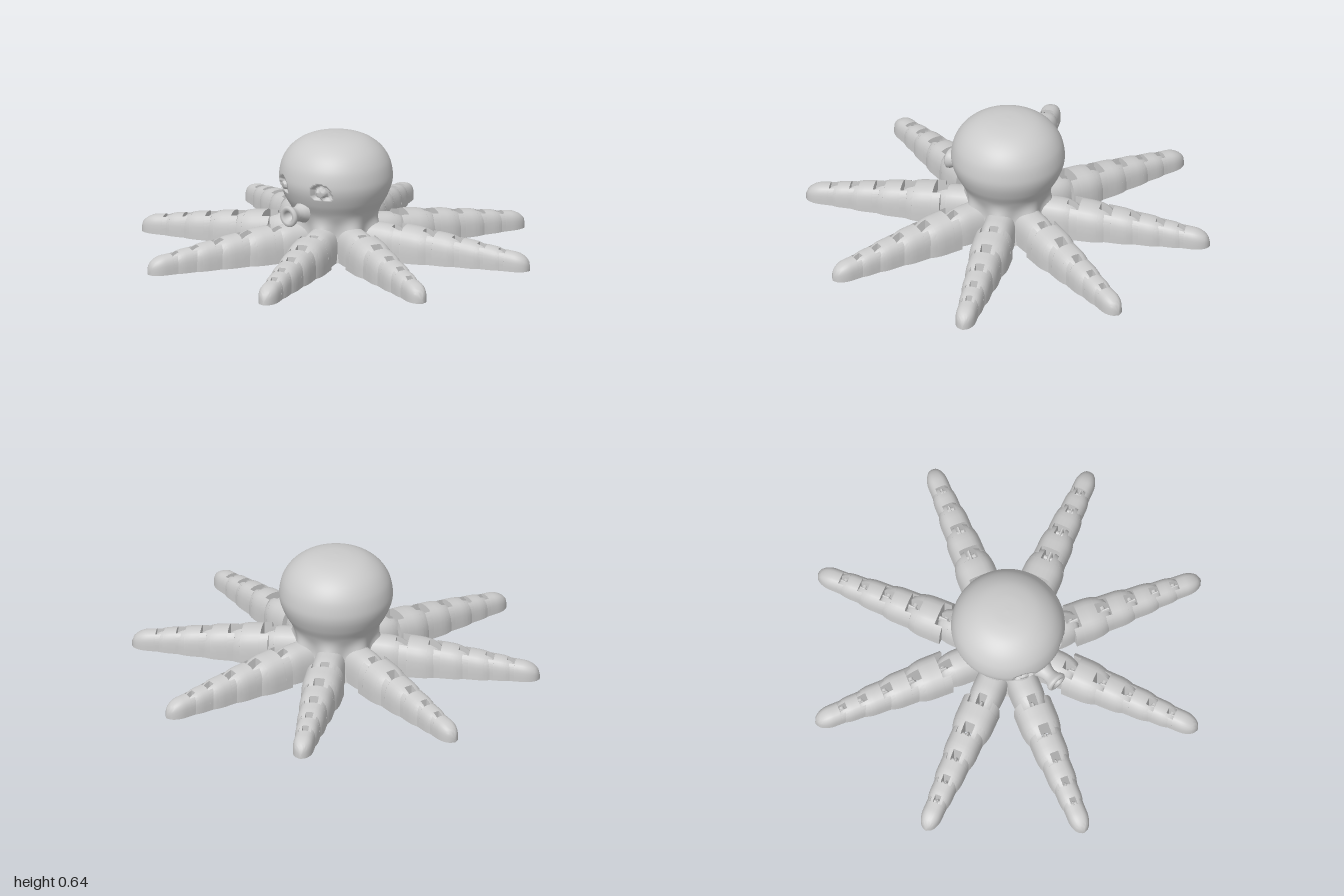
import * as THREE from 'three';
import { mergeVertices, toCreasedNormals } from 'three/addons/utils/BufferGeometryUtils.js';

const material = new THREE.MeshStandardMaterial({ color: 0xcccccc });
const openMaterial = new THREE.MeshStandardMaterial({ color: 0xcccccc, side: THREE.DoubleSide });

function add(parent, name, geometry, mat = material) {
  const mesh = new THREE.Mesh(geometry, mat);
  mesh.name = name;
  parent.add(mesh);
  return mesh;
}

// Arched, flat-bottomed cross-sections joined along x.
// Each station is [x, halfWidth, height]; lo and hi cut the section across z.
function loft(stations, lo = -9, hi = 9, steps = 14) {
  const e = 0.75;
  const angle = (z, w) => Math.acos(Math.sign(z) * Math.pow(Math.min(1, Math.abs(z) / w), 1 / e));
  const rings = stations.map(([x, w, h]) => {
    const t0 = angle(hi, w), t1 = angle(lo, w), ring = [];
    for (let i = 0; i <= steps; i++) {
      const t = t0 + (t1 - t0) * i / steps, c = Math.cos(t);
      const z = w * Math.sign(c) * Math.pow(Math.abs(c), e);
      ring.push([x, h * (0.25 + 0.75 * Math.pow(Math.max(0, Math.sin(t)), e)), z]);
    }
    ring.push([x, 0, ring[steps][2]]);
    ring.unshift([x, 0, ring[0][2]]);
    return ring;
  });
  const out = [], n = rings[0].length;
  const tri = (a, b, c) => out.push(...a, ...b, ...c);
  for (let i = 0; i < rings.length - 1; i++) {
    const p = rings[i], q = rings[i + 1];
    for (let j = 0; j < n; j++) {
      const k = (j + 1) % n;
      tri(p[j], q[j], q[k]);
      tri(p[j], q[k], p[k]);
    }
  }
  const first = rings[0], last = rings[rings.length - 1];
  for (let k = 1; k < n - 1; k++) {
    tri(first[0], first[k], first[k + 1]);
    tri(last[0], last[k + 1], last[k]);
  }
  const g = new THREE.BufferGeometry();
  g.setAttribute('position', new THREE.Float32BufferAttribute(out, 3));
  return toCreasedNormals(g, 0.6);
}

// One arm link: cupped inner end, solid middle, rounded and slotted outer end.
function armLink(parent, name, a, b, w, h, hEnd, { cup = true, tip = false } = {}) {
  const link = new THREE.Group();
  link.name = name;
  parent.add(link);
  const station = u => {
    const v = Math.max(0, (u - 0.45) / 0.55);
    const round = Math.sqrt(Math.max(0, 1 - v * v));
    const width = tip ? Math.max(0.1, round) : 0.5 + 0.5 * round;
    const height = tip ? 0.3 + 0.7 * round : 0.72 + 0.28 * round;
    return [a + (b - a) * u, w * width, (h + (hEnd - h) * u) * height];
  };
  const range = (u0, u1, n) => Array.from({ length: n + 1 }, (_, i) => station(u0 + (u1 - u0) * i / n));
  const cupEnd = cup ? 0.2 : 0, slotStart = tip ? 1 : 0.68;
  add(link, name + 'Middle', loft(range(cupEnd, slotStart, 12)));
  for (const s of [-1, 1]) {
    const cut = (stations, z) => s > 0 ? loft(stations, z, 9) : loft(stations, -9, -z);
    if (cup) add(link, name + 'Cheek', cut(range(0, cupEnd, 2), 0.62 * w));
    if (!tip) add(link, name + 'Prong', cut(range(slotStart, 1, 8), 0.27 * w));
  }
  // Hinge pin between the prongs
  if (!tip) {
    const pin = add(link, name + 'Pin', new THREE.CylinderGeometry(0.012, 0.012, 0.75 * w, 12));
    pin.rotation.x = Math.PI / 2;
    pin.position.set(b - 0.025, 0.4 * h, 0);
  }
  // Tongue reaching into the slot of the link before it
  if (cup) {
    const end = a + (b - a) * 0.25;
    add(link, name + 'Tongue', loft([[a - 0.012, 0.11 * w, 0.5 * h],
      [a, 0.13 * w, 0.62 * h], [end, 0.13 * w, 0.66 * h]]));
  }
}

function makeArm() {
  const arm = new THREE.Group();
  arm.name = 'arm';
  const starts = [0.345, 0.525, 0.675, 0.81, 0.915, 1.075];
  const widths = [0.103, 0.086, 0.073, 0.061, 0.053];
  const heights = [0.183, 0.163, 0.142, 0.122, 0.103, 0.085];
  armLink(arm, 'rootLink', 0.18, 0.383, 0.085, 0.18, 0.17, { cup: false });
  widths.forEach((w, i) => {
    const tip = i === 4;
    armLink(arm, tip ? 'tipLink' : 'link', starts[i], starts[i + 1] + (tip ? 0 : 0.035),
      w, heights[i], heights[i + 1], { tip });
  });
  return arm;
}

// Bulbous head and skirt, swelling at the arms, with two carved crescent eyes
function headGeometry() {
  const pts = [[0.235, 0], [0.222, 0.06], [0.208, 0.13], [0.212, 0.19], [0.235, 0.25], [0.268, 0.31],
    [0.292, 0.375], [0.295, 0.43], [0.278, 0.5], [0.236, 0.562], [0.17, 0.608], [0.09, 0.63], [0, 0.636]];
  const curve = new THREE.SplineCurve(pts.map(p => new THREE.Vector2(...p)));
  const profile = curve.getSpacedPoints(110).map(p => new THREE.Vector2(Math.max(0, p.x), p.y));
  let g = new THREE.LatheGeometry(profile, 240, Math.PI);
  const p = g.attributes.position;
  for (let i = 0; i < p.count; i++) {
    const x = p.getX(i), y = p.getY(i), z = p.getZ(i), theta = Math.atan2(x, z);
    const low = 1 - THREE.MathUtils.smoothstep(y, 0.1, 0.25);
    const swell = 0.05 * low * (0.5 - 0.5 * Math.cos(8 * theta));
    let carve = 0;
    const dx = Math.abs(x) - 0.132, dy = y - 0.383, d = Math.hypot(dx, dy);
    if (z > 0 && dy > -0.03 && d > 0.024 && d < 0.048) carve = 0.03;
    const r = Math.hypot(x, z), k = r > 1e-6 ? (r + swell - carve) / r : 1;
    p.setXYZ(i, x * k, y, z * k);
  }
  g.deleteAttribute('uv');
  g.deleteAttribute('normal');
  g = mergeVertices(g, 1e-5);
  g.computeVertexNormals();
  return g;
}

export function createModel() {
  const model = new THREE.Group();
  model.name = 'octopus';
  add(model, 'head', headGeometry());

  // Flat underside ring and hollow
  const hollow = [[0.245, 0.001], [0.16, 0.001], [0.16, 0.001], [0.158, 0.16], [0.13, 0.24], [0.07, 0.28], [0, 0.29]];
  const under = new THREE.LatheGeometry(hollow.map(q => new THREE.Vector2(...q)), 64);
  add(model, 'undersideHollow', toCreasedNormals(under, 0.7), openMaterial);

  // Tubular mouth with a flared rim
  const mouthProfile = [[0.055, 0], [0.042, 0.03], [0.037, 0.055], [0.042, 0.078], [0.054, 0.096],
    [0.057, 0.108], [0.05, 0.118], [0.036, 0.118], [0.027, 0.108], [0.024, 0.07], [0, 0.065]];
  const mouth = add(model, 'mouth',
    new THREE.LatheGeometry(mouthProfile.map(q => new THREE.Vector2(...q)), 40), openMaterial);
  mouth.rotation.x = Math.PI / 2;
  mouth.position.set(0, 0.262, 0.255);

  // Eight jointed arms
  const arm = makeArm();
  for (let i = 0; i < 8; i++) {
    const copy = arm.clone();
    copy.rotation.y = (i + 0.5) * Math.PI / 4;
    model.add(copy);
  }
  return model;
}
